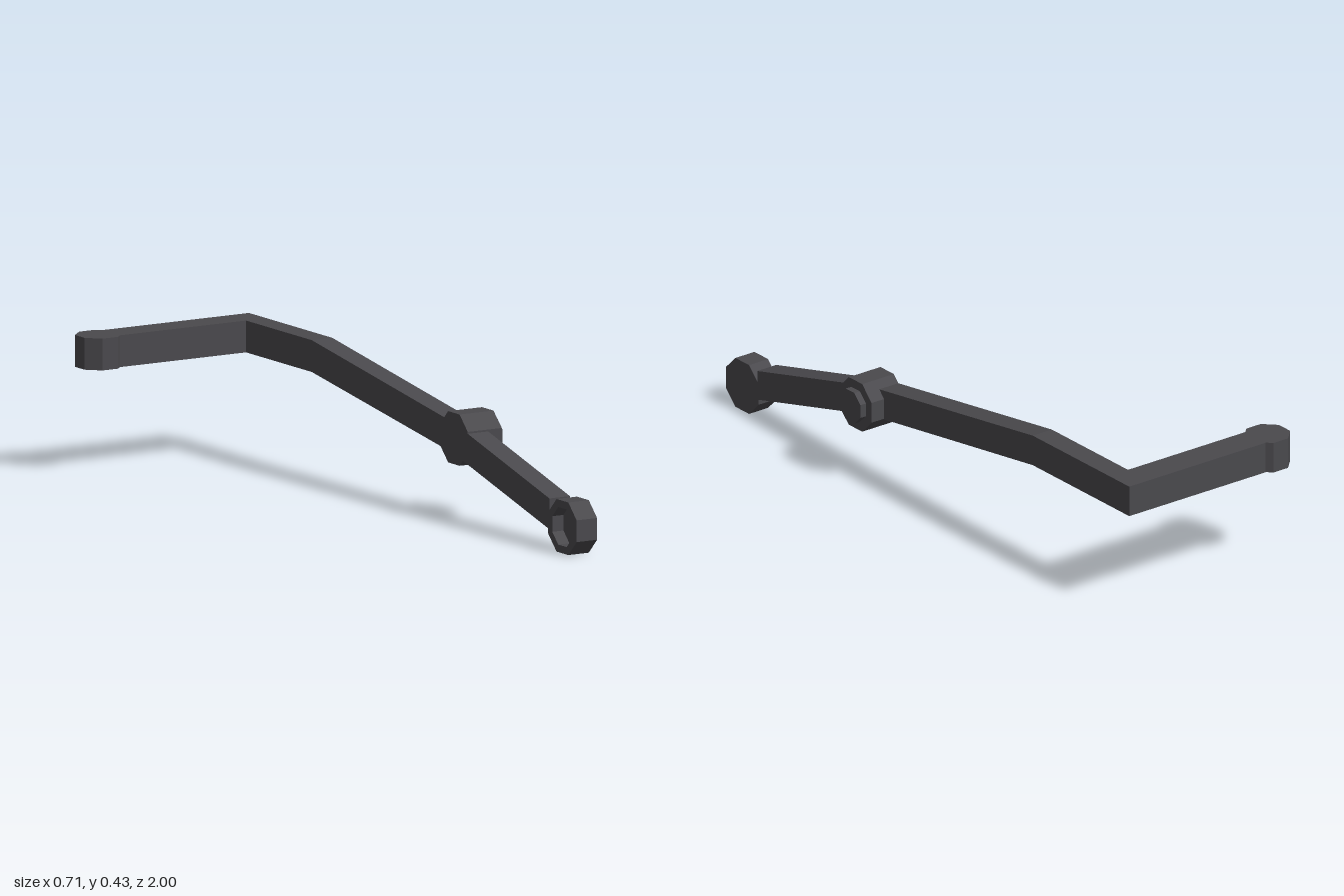
import * as THREE from 'three';

const X0 = 0.21, X1 = 0.283; // side faces of the long arm

// Faceted copy of a geometry
function flat(geometry) {
  const g = geometry.index ? geometry.toNonIndexed() : geometry;
  g.computeVertexNormals();
  return g;
}

// Octagonal boss along +y from a profile of [apothem, height] points
function octagon(profile) {
  const k = 1 / Math.cos(Math.PI / 8);
  const points = profile.map(([a, h]) => new THREE.Vector2(a * k, h));
  return flat(new THREE.LatheGeometry(points, 8, Math.PI / 8));
}

// Octagonal cap with a round-ish socket sunk into its underside
function socket(apothem, bore, depth, height) {
  return octagon([[0, depth], [bore, depth], [bore, 0], [apothem, 0], [apothem, height], [0, height]]);
}

export function createModel() {
  const model = new THREE.Group();
  const darkGrey = new THREE.MeshStandardMaterial({ color: 0x4a494d });
  const add = (name, geometry, x, y, z) => {
    const mesh = new THREE.Mesh(geometry, darkGrey);
    mesh.name = name;
    mesh.position.set(x, y, z);
    model.add(mesh);
  };

  // Long bent arm: side profile as [z, y], extruded across x
  const profile = [
    [0.845, 0.062], [0.3, 0.207], [-0.51, 0.328], [-0.885, 0.328],
    [-0.885, 0.426], [-0.51, 0.426], [0.3, 0.302], [0.845, 0.157],
  ];
  const shape = new THREE.Shape(profile.map(([z, y]) => new THREE.Vector2(-z, y)));
  const arm = new THREE.ExtrudeGeometry(shape, { depth: X1 - X0, bevelEnabled: false });
  add('longArm', flat(arm.rotateY(Math.PI / 2)), X0, 0, 0);

  // Cross arm at the back, including the corner
  add('crossArm', new THREE.BoxGeometry(0.523, 0.098, 0.1), 0.0215, 0.377, -0.935);

  // Socket at the end of the cross arm, open downwards
  add('crossArmSocket', socket(0.067, 0.047, 0.05, 0.098), -0.286, 0.328, -0.934);

  // Socket at the front end, open towards the inner side
  add('frontSocket', socket(0.081, 0.058, 0.04, X1 - X0).rotateZ(-Math.PI / 2), X0, 0.081, 0.919);

  // Pivot hub with its smaller stub on the outer side
  const hub = octagon([[0, 0], [0.079, 0], [0.079, 0.121], [0.051, 0.121], [0.051, 0.142], [0, 0.142]]);
  add('pivotHub', hub.rotateZ(-Math.PI / 2), X0, 0.254, 0.3);

  return model;
}
